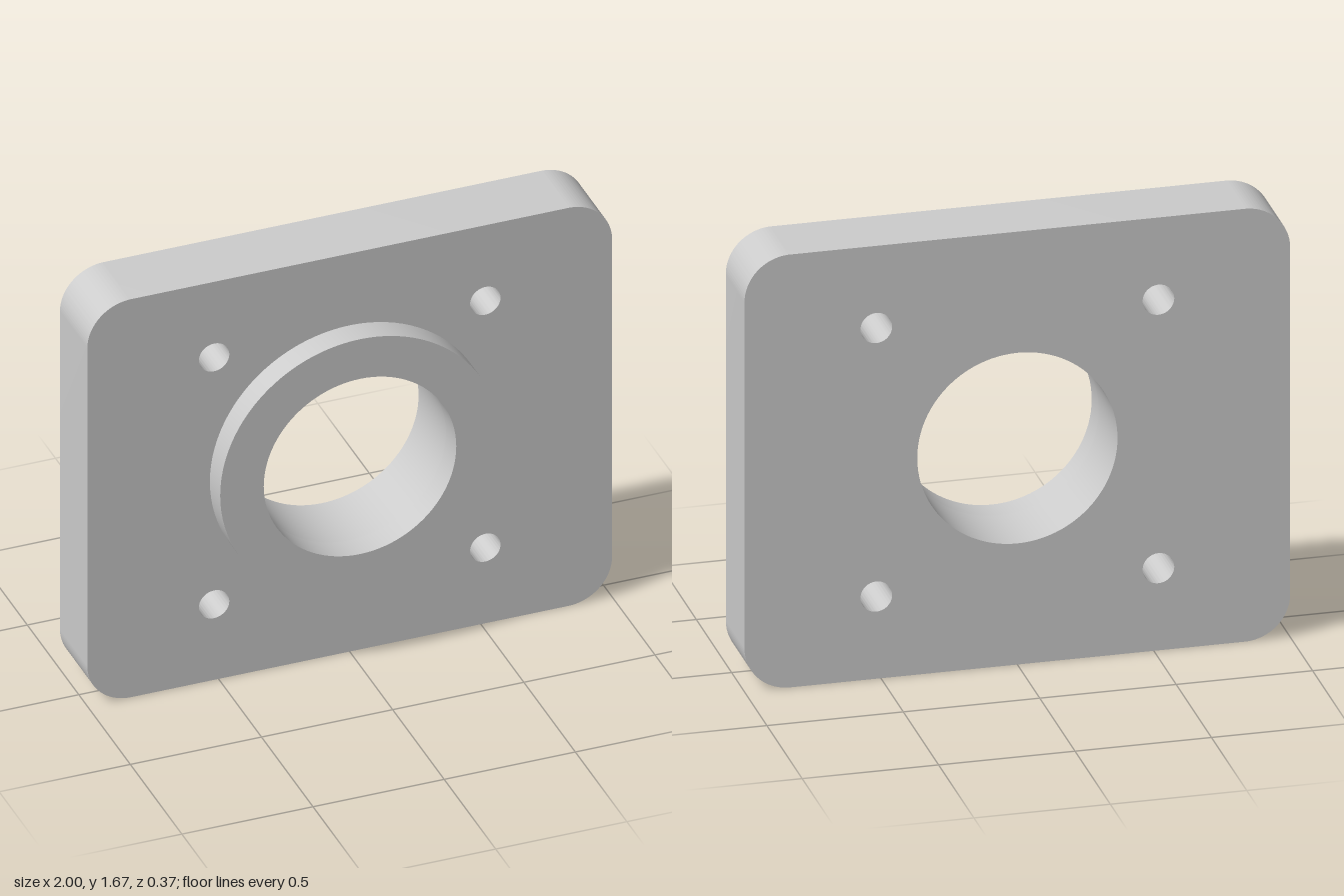
import * as THREE from 'three';
import { toCreasedNormals } from 'three/addons/utils/BufferGeometryUtils.js';

const WIDTH = 2, HEIGHT = 1.667, CORNER = 0.167;
const BACK = -0.183, FACE = 0.083, FRONT = 0.183;
const BORE = 0.367, BOSS = 0.533, BOLT = 0.058, BOLT_OFFSET = 0.517;

function circle(x, y, r) {
  return new THREE.Path().absarc(x, y, r, 0, Math.PI * 2, true);
}

function roundedRectangle(w, h, r) {
  const x = w / 2 - r, y = h / 2 - r, q = Math.PI / 2;
  const shape = new THREE.Shape();
  shape.absarc(x, y, r, 0, q);
  shape.absarc(-x, y, r, q, 2 * q);
  shape.absarc(-x, -y, r, 2 * q, 3 * q);
  shape.absarc(x, -y, r, 3 * q, 4 * q);
  shape.closePath();
  return shape;
}

export function createModel() {
  const group = new THREE.Group();
  group.name = 'flangePlate';
  const material = new THREE.MeshStandardMaterial({ color: 0xcccccc });

  // Plate with rounded corners, central bore and four bolt holes
  const outline = roundedRectangle(WIDTH, HEIGHT, CORNER);
  outline.holes.push(circle(0, 0, BORE));
  for (const sx of [-1, 1])
    for (const sy of [-1, 1])
      outline.holes.push(circle(sx * BOLT_OFFSET, sy * BOLT_OFFSET, BOLT));
  const plateGeometry = new THREE.ExtrudeGeometry(outline, {
    depth: FACE - BACK, bevelEnabled: false, curveSegments: 48,
  });
  const plate = new THREE.Mesh(toCreasedNormals(plateGeometry, 0.6), material);
  plate.name = 'plate';
  plate.position.set(0, HEIGHT / 2, BACK);
  group.add(plate);

  // Raised ring around the bore, open where it meets the plate
  const profile = [[BOSS, FACE], [BOSS, FRONT], [BORE, FRONT], [BORE, FACE]]
    .map(([r, z]) => new THREE.Vector2(r, z));
  const ringGeometry = new THREE.LatheGeometry(profile, 96).rotateX(Math.PI / 2);
  const ring = new THREE.Mesh(toCreasedNormals(ringGeometry, 0.6), material);
  ring.name = 'locatingRing';
  ring.position.y = HEIGHT / 2;
  group.add(ring);

  return group;
}
